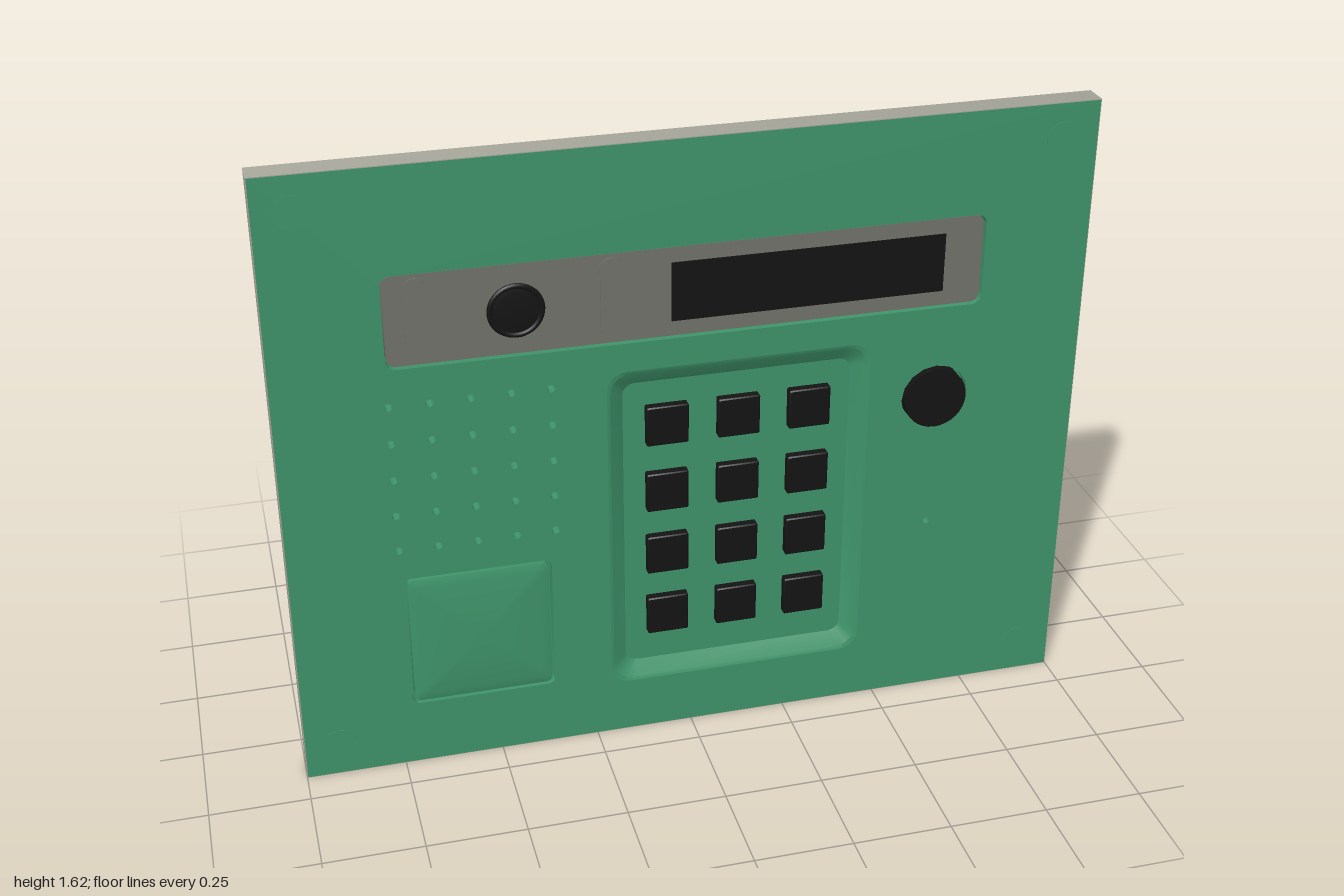
import * as THREE from 'three';
import { toCreasedNormals } from 'three/addons/utils/BufferGeometryUtils.js';

const mat = (color, side = THREE.FrontSide) => new THREE.MeshStandardMaterial({ color, side });
const grey = mat(0xcccccc);
const green = mat(0x3f946b);
const steel = mat(0xa6a69b);
const bezelGrey = mat(0x70736a);
const black = mat(0x141414);
const screwGrey = mat(0x777777);

const W = 2, H = 1.615;       // front plate size
const Z0 = 0.10, ZM = 0.13, Z1 = 0.165; // plate back, middle, front

// Rounded rectangle outline, centred on (cx, cy)
function trace(path, w, h, r, cx = 0, cy = 0) {
  r = Math.max(Math.min(r, w / 2, h / 2), 1e-5);
  const x = w / 2 - r, y = h / 2 - r, q = Math.PI / 2;
  path.absarc(cx + x, cy + y, r, 0, q);
  path.absarc(cx - x, cy + y, r, q, 2 * q);
  path.absarc(cx - x, cy - y, r, 2 * q, 3 * q);
  path.absarc(cx + x, cy - y, r, 3 * q, 4 * q);
  path.closePath();
  return path;
}
const rect = (...a) => trace(new THREE.Shape(), ...a);
const rectHole = (...a) => trace(new THREE.Path(), ...a);
const roundHole = (x, y, r) => new THREE.Path().absarc(x, y, r, 0, Math.PI * 2);

function add(parent, name, geometry, material, x = 0, y = 0, z = 0) {
  const mesh = new THREE.Mesh(geometry, material);
  mesh.name = name;
  mesh.position.set(x, y, z);
  parent.add(mesh);
  return mesh;
}

function slab(shape, depth, holes = []) {
  shape.holes.push(...holes);
  const g = new THREE.ExtrudeGeometry(shape, { depth, bevelEnabled: false, curveSegments: 8 });
  return toCreasedNormals(g, 0.6);
}

// Surface through rounded rectangles [w, h, r, z, dx], outermost first
function loft(rings, crease) {
  const N = 24, pos = [], index = [];
  for (const [w, h, r, z, dx = 0] of rings) {
    const rr = Math.max(Math.min(r, w / 2, h / 2), 1e-5);
    for (let i = 0; i < N; i++) {
      const c = Math.floor(i / 6), a = (c + (i % 6) / 5) * Math.PI / 2;
      const sx = c === 0 || c === 3 ? 1 : -1, sy = c < 2 ? 1 : -1;
      pos.push(dx + sx * (w / 2 - rr) + rr * Math.cos(a), sy * (h / 2 - rr) + rr * Math.sin(a), z);
    }
  }
  for (let k = 0; k < rings.length - 1; k++)
    for (let i = 0; i < N; i++) {
      const a = k * N + i, b = k * N + (i + 1) % N;
      index.push(a, b, b + N, a, b + N, a + N);
    }
  const g = new THREE.BufferGeometry();
  g.setAttribute('position', new THREE.Float32BufferAttribute(pos, 3));
  g.setIndex(index);
  g.computeVertexNormals();
  return toCreasedNormals(g, crease);
}

// Disc or rod facing along z
const rod = (r, len, seg = 32, r2 = r) => new THREE.CylinderGeometry(r, r2, len, seg).rotateX(Math.PI / 2);

export function createModel() {
  const model = new THREE.Group();
  model.name = 'entryPanel';

  // Mounting plate with blind corner holes, and its rim
  const corners = [[-0.91, 0.09], [0.91, 0.09], [-0.91, 1.525], [0.91, 1.525]];
  add(model, 'backPlate', slab(rect(W, H, 0, 0, H / 2), ZM - Z0,
    corners.map(([x, y]) => roundHole(x, y, 0.03))), steel, 0, 0, Z0);
  add(model, 'plateRim', slab(rect(W, H, 0, 0, H / 2), Z1 - ZM - 0.001,
    [rectHole(W - 0.006, H - 0.006, 0, 0, H / 2)]), steel, 0, 0, ZM);

  // Green face with openings for every control
  const holes = [
    rectHole(1.46, 0.235, 0.025, 0, 1.2325),
    rectHole(0.66, 0.89, 0.05, 0.12, 0.595),
    rectHole(0.365, 0.37, 0.02, -0.54, 0.3625),
    roundHole(0.625, 0.87, 0.087),
    roundHole(0.625, 0.51, 0.009),
  ];
  for (let i = 0; i < 5; i++)
    for (let j = 0; j < 5; j++) holes.push(roundHole(-0.73 + i * 0.0965, 0.63 + j * 0.0975, 0.01));
  add(model, 'frontFace', slab(rect(W - 0.004, H - 0.004, 0, 0, H / 2), Z1 - ZM, holes), green, 0, 0, ZM);
  add(model, 'faceBacking', new THREE.PlaneGeometry(W - 0.01, H - 0.01), green, 0, H / 2, ZM + 0.001);
  for (const [x, y] of corners) add(model, 'cornerCap', rod(0.042, 0.004), green, x, y, Z1 - 0.001);

  // Camera and display strip
  const strip = new THREE.Group();
  strip.name = 'displayStrip';
  strip.position.set(0, 1.2325, 0);
  model.add(strip);
  add(strip, 'stripPlate', slab(rect(1.452, 0.227, 0.022), 0.026), bezelGrey, 0, 0, ZM + 0.001);
  for (const x of [-0.652, -0.195])
    add(strip, 'stripRib', slab(rect(0.052, 0.208, 0.026), 0.004), bezelGrey, x, 0, 0.157);
  add(strip, 'displayScreen', new THREE.BoxGeometry(0.68, 0.15, 0.004), black, 0.29, 0, 0.158);
  add(strip, 'cameraRing', new THREE.TorusGeometry(0.062, 0.007, 8, 40), black, -0.42, -0.004, 0.157);
  add(strip, 'cameraLens', new THREE.SphereGeometry(0.06, 32, 16).scale(1, 1, 0.08), black, -0.42, -0.004, 0.157);

  // Sunken keypad tray with sloped walls
  add(model, 'keypadTray', loft([
    [0.662, 0.892, 0.05, Z1 + 0.0005], [0.645, 0.875, 0.05, Z1 - 0.002],
    [0.575, 0.8, 0.03, 0.139], [0, 0, 0, 0.139]], 0.3), green, 0.12, 0.595, 0);
  for (const y of [0.335, 0.515, 0.695, 0.88])
    for (const x of [-0.06, 0.12, 0.3])
      add(model, 'key', loft([
        [0.105, 0.105, 0.004, 0.138], [0.105, 0.105, 0.004, 0.159],
        [0.099, 0.099, 0.004, 0.162], [0, 0, 0, 0.162]], 0.4), black, x, y, 0);

  // Domed reader pad
  const dome = [[0.35, 0.355, 0.015, 0.132], [0.35, 0.355, 0.015, Z1 - 0.001]];
  for (let i = 0; i <= 8; i++) {
    const s = 1 - i / 8;
    dome.push([0.344 * s, 0.349 * s, 0.015 * s, Z1 + 0.012 * (1 - s * s)]);
  }
  add(model, 'readerPad', loft(dome, 0.6), green, -0.54, 0.3625, 0);

  // Round call button
  add(model, 'callButton', rod(0.08, 0.042), black, 0.625, 0.87, 0.153);

  // Rear housing with a shallow recess
  const bx = 0.02, by = 0.7875, rx = -0.19, ry = 0.6425;
  add(model, 'rearHousing', slab(rect(1.7, 1.415, 0.07, bx, by), Z0 + 0.16,
    [rectHole(0.78, 0.615, 0, rx, ry)]), grey, 0, 0, -0.16);
  const recess = add(model, 'rearRecess', loft([
    [0.78, 0.615, 0, 0.16], [0.605, 0.614, 0, 0.11, 0.0275], [0, 0, 0, 0.11, 0.0275]], 0.2), grey, rx, ry, 0);
  recess.rotation.y = Math.PI;
  const strip2 = add(model, 'recessStrip', new THREE.PlaneGeometry(0.16, 0.613), green, -0.44, ry, -0.111);
  strip2.rotation.y = Math.PI;

  // Cross-head screws on the housing
  for (const x of [-0.77, 0.805])
    for (const y of [0.145, 1.435]) {
      const screw = new THREE.Group();
      screw.name = 'housingScrew';
      screw.position.set(x, y, -0.16);
      model.add(screw);
      add(screw, 'screwHead', rod(0.03, 0.014, 24, 0.024), screwGrey, 0, 0, -0.007);
      for (const a of [0.25, 0.75])
        add(screw, 'screwSlot', new THREE.BoxGeometry(0.036, 0.008, 0.002), black, 0, 0, -0.014).rotation.z = a * Math.PI;
    }

  return model;
}
